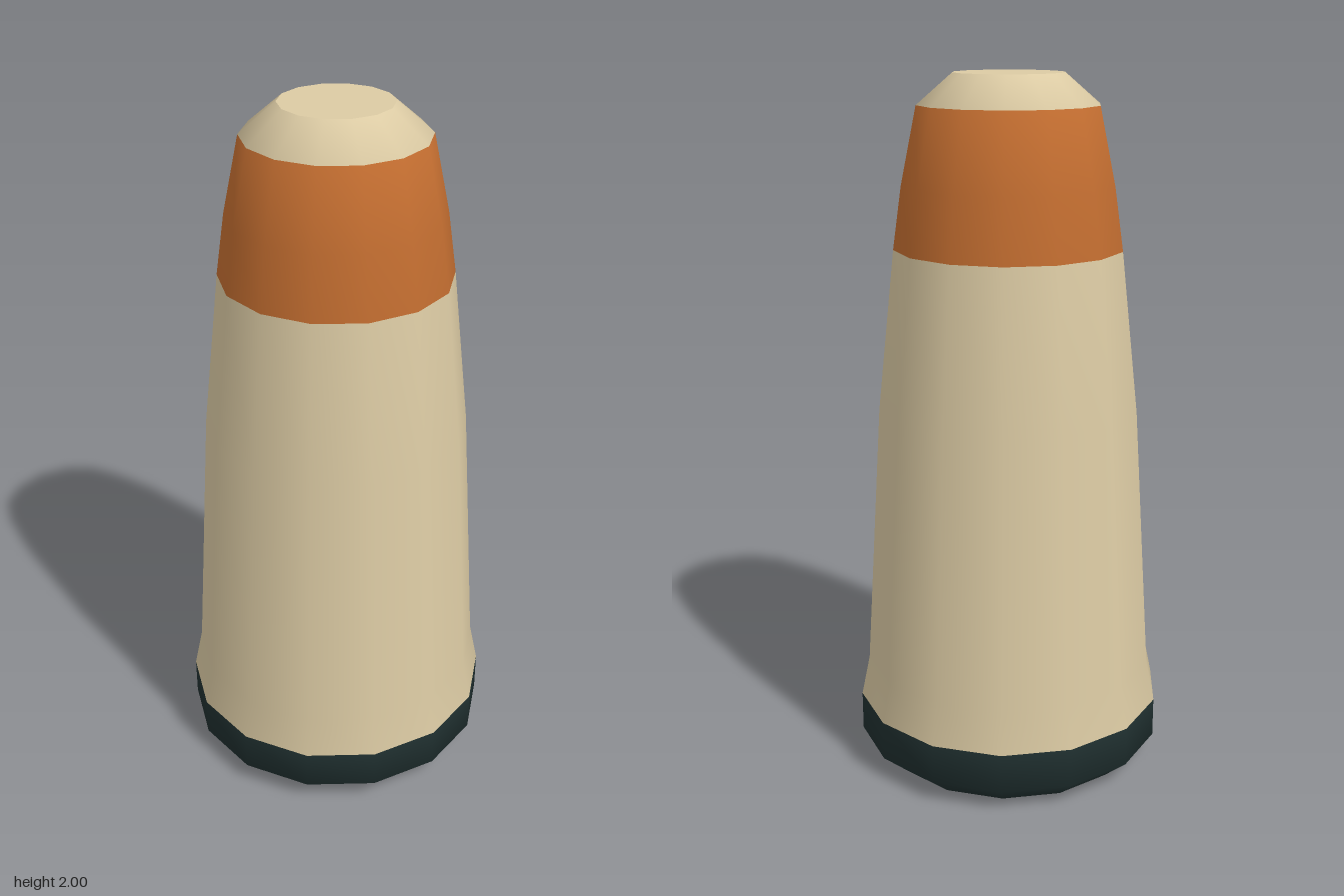
import * as THREE from 'three';

const SIDES = 14;

// Profile from bottom to top: [radius, height]
const PROFILE = [
  [0.375, 0], [0.45, 0.065], [0.45, 0.18],
  [0.425, 0.3], [0.375, 1.07], [0.325, 1.525],
  [0.3, 1.7], [0.255, 1.915], [0.155, 2],
];

function material(name, color) {
  const m = new THREE.MeshStandardMaterial({ color });
  m.name = name;
  return m;
}

export function createModel() {
  const cream = material('cream', 0xdccba4);
  const orange = material('orange', 0xc26d30);
  const dark = material('darkGreen', 0x203030);

  const group = new THREE.Group();
  group.name = 'taperedBollard';

  // One smooth shell, so the shading runs on across the colour bands
  const points = PROFILE.map(([r, y]) => new THREE.Vector2(r, y));
  const shell = new THREE.LatheGeometry(points, SIDES, Math.PI / 2);
  const rows = points.length - 1;

  // Cut the profile rows from..to out of the shell as one part
  function band(name, from, to, mat) {
    const index = [];
    for (let i = 0; i < SIDES; i++) {
      for (let k = (i * rows + from) * 6; k < (i * rows + to) * 6; k++) {
        index.push(shell.index.getX(k));
      }
    }
    const geometry = shell.clone().setIndex(index);
    const mesh = new THREE.Mesh(geometry, mat);
    mesh.name = name;
    group.add(mesh);
  }

  band('base', 0, 2, dark);
  band('body', 2, 5, cream);
  band('warningBand', 5, 7, orange);
  band('topBevel', 7, 8, cream);

  // Flat end discs
  function disc(name, [radius, y], up, mat) {
    const geometry = new THREE.CircleGeometry(radius, SIDES).rotateX(-up * Math.PI / 2);
    const mesh = new THREE.Mesh(geometry, mat);
    mesh.name = name;
    mesh.position.y = y;
    group.add(mesh);
  }

  disc('bottomDisc', PROFILE[0], -1, dark);
  disc('topDisc', PROFILE[rows], 1, cream);

  return group;
}
